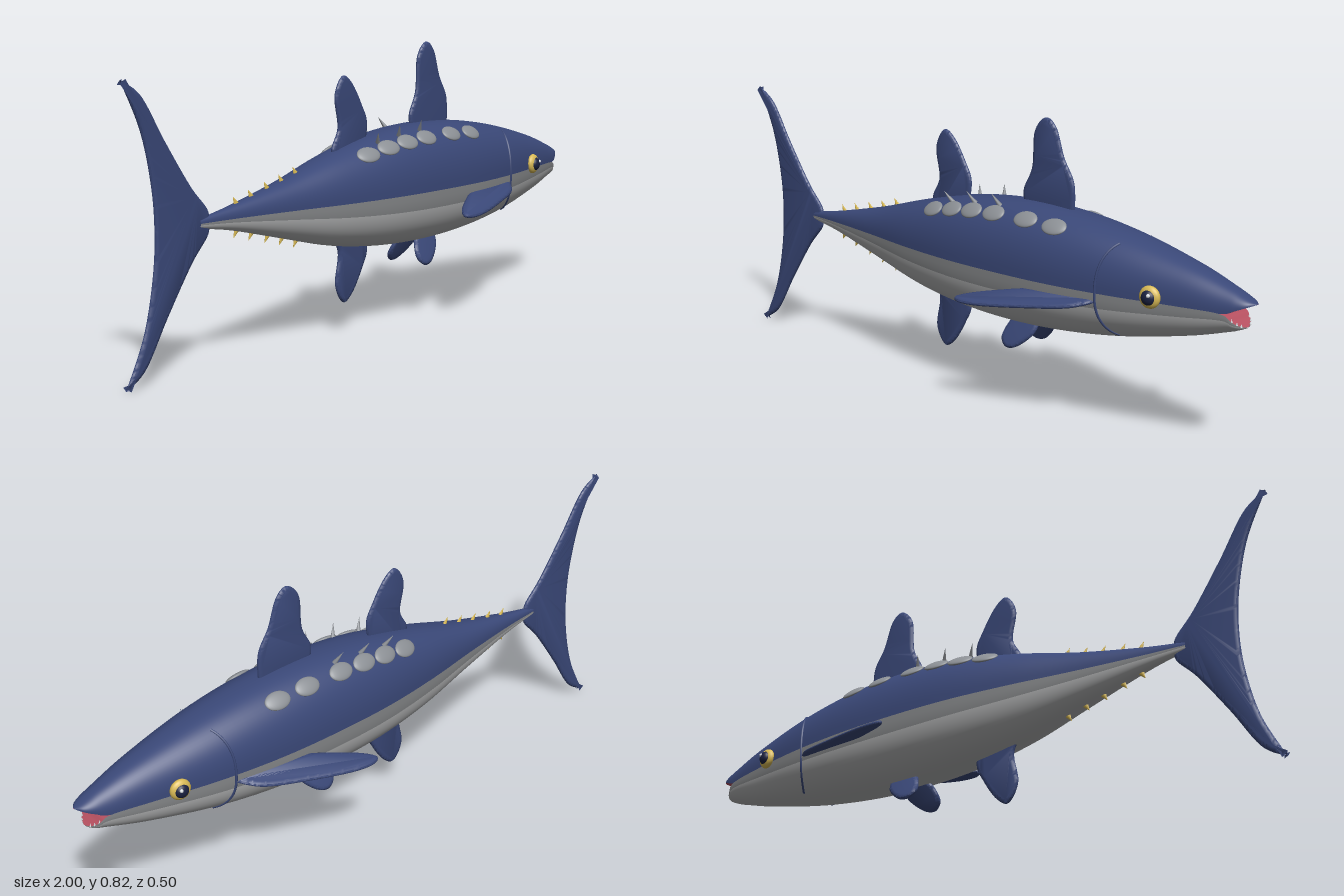
import * as THREE from 'three';
import { toCreasedNormals } from 'three/addons/utils/BufferGeometryUtils.js';

const mat = (name, color, side = THREE.FrontSide) => {
  const m = new THREE.MeshStandardMaterial({ color, side });
  m.name = name;
  return m;
};
const V = (x, y, z) => new THREE.Vector3(x, y, z);
const RAD = Math.PI / 180;

// Body sections: x, edge height, waterline height, half width
const BACK = [
  [-0.73, 0.41, 0.398, 0.008], [-0.6, 0.432, 0.398, 0.025], [-0.4, 0.475, 0.397, 0.06],
  [-0.2, 0.528, 0.396, 0.1], [0, 0.569, 0.396, 0.129], [0.2, 0.585, 0.396, 0.14],
  [0.4, 0.577, 0.396, 0.138], [0.6, 0.547, 0.397, 0.118], [0.8, 0.499, 0.398, 0.08],
  [0.92, 0.46, 0.395, 0.052], [0.96, 0.444, 0.408, 0.039], [0.985, 0.433, 0.418, 0.024],
  [1, 0.425, 0.424, 0.003],
];
const BELLY = [
  [-0.73, 0.385, 0.398, 0.008], [-0.6, 0.362, 0.398, 0.025], [-0.4, 0.313, 0.397, 0.06],
  [-0.2, 0.265, 0.396, 0.1], [0, 0.238, 0.396, 0.129], [0.2, 0.23, 0.396, 0.14],
  [0.4, 0.239, 0.396, 0.138], [0.6, 0.264, 0.397, 0.118], [0.8, 0.305, 0.398, 0.08],
  [0.92, 0.338, 0.395, 0.052], [0.95, 0.348, 0.376, 0.04], [0.965, 0.354, 0.365, 0.024],
  [0.973, 0.358, 0.36, 0.003],
];

// Smoothly interpolated section at t = 0..1
function sampler(rows) {
  const a = new THREE.CatmullRomCurve3(rows.map(r => V(r[0], r[1], r[2])), false, 'catmullrom');
  const b = new THREE.CatmullRomCurve3(rows.map(r => V(r[0], r[3], 0)), false, 'catmullrom');
  return t => {
    const p = a.getPoint(t);
    return { x: p.x, edge: p.y, mid: p.z, half: Math.max(b.getPoint(t).y, 0.002) };
  };
}
const backAt = sampler(BACK), bellyAt = sampler(BELLY);

// Rounded-box cross-section; the angle runs from the top towards +z
function ringPoint(s, deg) {
  const c = Math.cos(deg * RAD), n = Math.sin(deg * RAD), k = 2 / 2.3;
  return V(s.x, s.mid + Math.abs(s.edge - s.mid) * Math.sign(c) * Math.abs(c) ** k,
    s.half * Math.sign(n) * Math.abs(n) ** k);
}
function onBody(x, deg) {
  const at = deg <= 90 ? backAt : bellyAt;
  let lo = 0, hi = 1;
  for (let i = 0; i < 30; i++) {
    const m = (lo + hi) / 2;
    if (at(m).x < x) lo = m; else hi = m;
  }
  return ringPoint(at(lo), deg);
}
function bodyNormal(x, deg) {
  const da = onBody(x, deg + 1).sub(onBody(x, deg - 1));
  const dx = onBody(x + 0.01, deg).sub(onBody(x - 0.01, deg));
  return da.cross(dx).normalize();
}

// Skin over the sections; slot(deg) picks the material group
function loft(at, angles, slot) {
  const N = 72, M = angles.length, pos = [], idx = [[], []];
  for (let i = 0; i <= N; i++)
    for (const a of angles) pos.push(...ringPoint(at(i / N), a).toArray());
  for (let i = 0; i < N; i++)
    for (let j = 0; j < M - 1; j++) {
      const p = i * M + j, q = p + M;
      idx[slot((angles[j] + angles[j + 1]) / 2)].push(p, p + 1, q, q, p + 1, q + 1);
    }
  const g = new THREE.BufferGeometry();
  g.setAttribute('position', new THREE.Float32BufferAttribute(pos, 3));
  g.setIndex([...idx[0], ...idx[1]]);
  g.addGroup(0, idx[0].length, 0);
  g.addGroup(idx[0].length, idx[1].length, 1);
  g.computeVertexNormals();
  return g;
}

// Flat mouth lining across one jaw
function lining(at) {
  const pos = [], idx = [], N = 12;
  for (let i = 0; i <= N; i++) {
    const s = at(0.74 + 0.26 * i / N);
    pos.push(s.x, s.mid, -s.half, s.x, s.mid, s.half);
    if (i < N) idx.push(2 * i, 2 * i + 1, 2 * i + 2, 2 * i + 2, 2 * i + 1, 2 * i + 3);
  }
  const g = new THREE.BufferGeometry();
  g.setAttribute('position', new THREE.Float32BufferAttribute(pos, 3));
  g.setIndex(idx);
  g.computeVertexNormals();
  return g;
}

// Thin bevelled fin from spline edges that meet at sharp corners
function finGeometry(...edges) {
  const v2 = p => new THREE.Vector2(p[0], p[1]);
  const shape = new THREE.Shape().moveTo(...edges[0][0]);
  for (const e of edges) shape.splineThru(e.slice(1).map(v2));
  const g = new THREE.ExtrudeGeometry(shape, {
    depth: 0.003, curveSegments: 20, bevelEnabled: true, bevelThickness: 0.005,
    bevelSize: 0.012, bevelOffset: -0.012, bevelSegments: 2,
  });
  g.translate(0, 0, -0.0015);
  return toCreasedNormals(g, 0.9);
}

export function createModel() {
  const navy = mat('navy', 0x3a4878), band = mat('flankGrey', 0x86888a), pale = mat('bellyGrey', 0xb2b3b4);
  const plate = mat('plateGrey', 0x8b8f94), gold = mat('gold', 0xd9ba55), dark = mat('pupil', 0x1a2140);
  const pink = mat('mouthPink', 0xb65060, THREE.DoubleSide), white = mat('glint', 0xd8dce0);
  const model = new THREE.Group();
  const add = (parent, name, g, m, p) => {
    const mesh = new THREE.Mesh(g, m);
    mesh.name = name;
    if (p) mesh.position.copy(p);
    parent.add(mesh);
    return mesh;
  };
  const UP = V(0, 1, 0), OUT = V(0, 0, 1);

  // Body halves, with the two jaws at the front
  const span = (a, b, n) => Array.from({ length: n + 1 }, (_, i) => a + (b - a) * i / n);
  add(model, 'back', loft(backAt, span(-90, 90, 36), () => 0), [navy, navy]);
  add(model, 'belly', loft(bellyAt, span(90, 270, 36), a => (a < 105 || a > 255 ? 0 : 1)), [band, pale]);
  add(model, 'mouthRoof', lining(backAt), pink);
  add(model, 'mouthFloor', lining(bellyAt), pink);

  // Tail and centre fins
  const tailTop = [[-0.69, 0.4], [-0.7, 0.435], [-0.76, 0.5], [-0.85, 0.625], [-0.93, 0.745], [-1, 0.79]];
  const flip = (pts, c) => pts.map(([x, y]) => [x, 2 * c - y]);
  add(model, 'tailFin', finGeometry(tailTop,
    [[-1, 0.79], [-0.935, 0.66], [-0.9, 0.52], [-0.89, 0.397], [-0.9, 0.274], [-0.935, 0.134], [-1, 0.004]],
    flip(tailTop, 0.397).reverse()), navy);
  add(model, 'frontDorsalFin', finGeometry([[0.2, 0.55], [0.19, 0.61], [0.222, 0.68], [0.23, 0.78], [0.27, 0.825],
    [0.31, 0.8], [0.34, 0.72], [0.378, 0.65], [0.38, 0.55]]), navy);
  const rear = [[-0.17, 0.48], [-0.18, 0.54], [-0.152, 0.6], [-0.165, 0.69], [-0.132, 0.746], [-0.09, 0.725],
    [-0.045, 0.66], [-0.02, 0.6], [-0.04, 0.5]];
  add(model, 'rearDorsalFin', finGeometry(rear), navy);
  add(model, 'analFin', finGeometry(flip(rear, 0.417)), navy);

  // Small finlets above and below the tail stem
  for (const x of [-0.59, -0.53, -0.465, -0.405, -0.345])
    for (const s of [1, -1]) {
      const p = onBody(x, s > 0 ? 0 : 180);
      const f = add(model, 'finlet', new THREE.ConeGeometry(0.011, 0.03, 8), gold, p.add(V(0, s * 0.007, 0)));
      f.scale.z = 0.5;
      f.quaternion.setFromUnitVectors(UP, V(-0.6, s, 0).normalize());
    }

  const ball = new THREE.SphereGeometry(1, 24, 16);
  const pectoral = finGeometry([[0.56, -0.01], [0.5, 0.04], [0.38, 0.082], [0.25, 0.118], [0.175, 0.126],
    [0.147, 0.11], [0.18, 0.077], [0.25, 0.037], [0.33, 0.0], [0.42, -0.02]]);
  const pelvic = finGeometry([[0.28, 0.02], [0.27, -0.03], [0.225, -0.075], [0.185, -0.086], [0.158, -0.06],
    [0.168, -0.015], [0.19, 0.02]]);
  for (const s of [1, -1]) {
    const side = new THREE.Group();
    side.name = s > 0 ? 'rightSide' : 'leftSide';
    side.scale.z = s;
    model.add(side);

    // Paired fins
    add(side, 'pectoralFin', pectoral, navy, V(0, 0.368, 0.13)).rotation.x = 110 * RAD;
    add(side, 'pelvicFin', pelvic, navy, V(0, 0.236, 0.03)).rotation.x = -25 * RAD;

    // Back plates
    for (const x of [-0.105, -0.02, 0.065, 0.155, 0.28, 0.385]) {
      const p = add(side, 'backPlate', ball, plate, onBody(x, 37));
      p.scale.set(0.041, 0.027, 0.009);
      p.quaternion.setFromUnitVectors(OUT, bodyNormal(x, 37));
    }
    // Back spines
    for (const x of [-0.04, 0.055, 0.155]) {
      const n = bodyNormal(x, 24).add(V(-0.35, 0, 0)).normalize();
      const p = add(side, 'backSpine', new THREE.ConeGeometry(0.008, 0.05, 10), plate,
        onBody(x, 24).addScaledVector(n, 0.018));
      p.quaternion.setFromUnitVectors(UP, n);
    }

    // Gill line
    const gill = span(30, 152, 14).map(a => onBody(0.562 + 0.036 * ((a - 90) / 60) ** 2, a));
    add(side, 'gillLine', new THREE.TubeGeometry(new THREE.CatmullRomCurve3(gill), 40, 0.004, 6), navy);

    // Eye
    const eye = new THREE.Group();
    eye.name = 'eye';
    eye.position.set(0.73, 0.413, 0.098);
    eye.rotation.y = 0.15;
    side.add(eye);
    add(eye, 'eyeRim', ball, gold).scale.set(0.031, 0.031, 0.016);
    add(eye, 'pupil', ball, dark, V(0, 0, 0.008)).scale.set(0.021, 0.021, 0.015);
    add(eye, 'glint', ball, white, V(0.006, 0.008, 0.02)).scale.setScalar(0.0055);

    // Lower teeth
    for (const t of [0.83, 0.88, 0.93]) {
      const q = bellyAt(t);
      add(side, 'tooth', new THREE.ConeGeometry(0.003, 0.01, 6), white, V(q.x, q.mid + 0.003, q.half * 0.93));
    }
  }
  return model;
}
